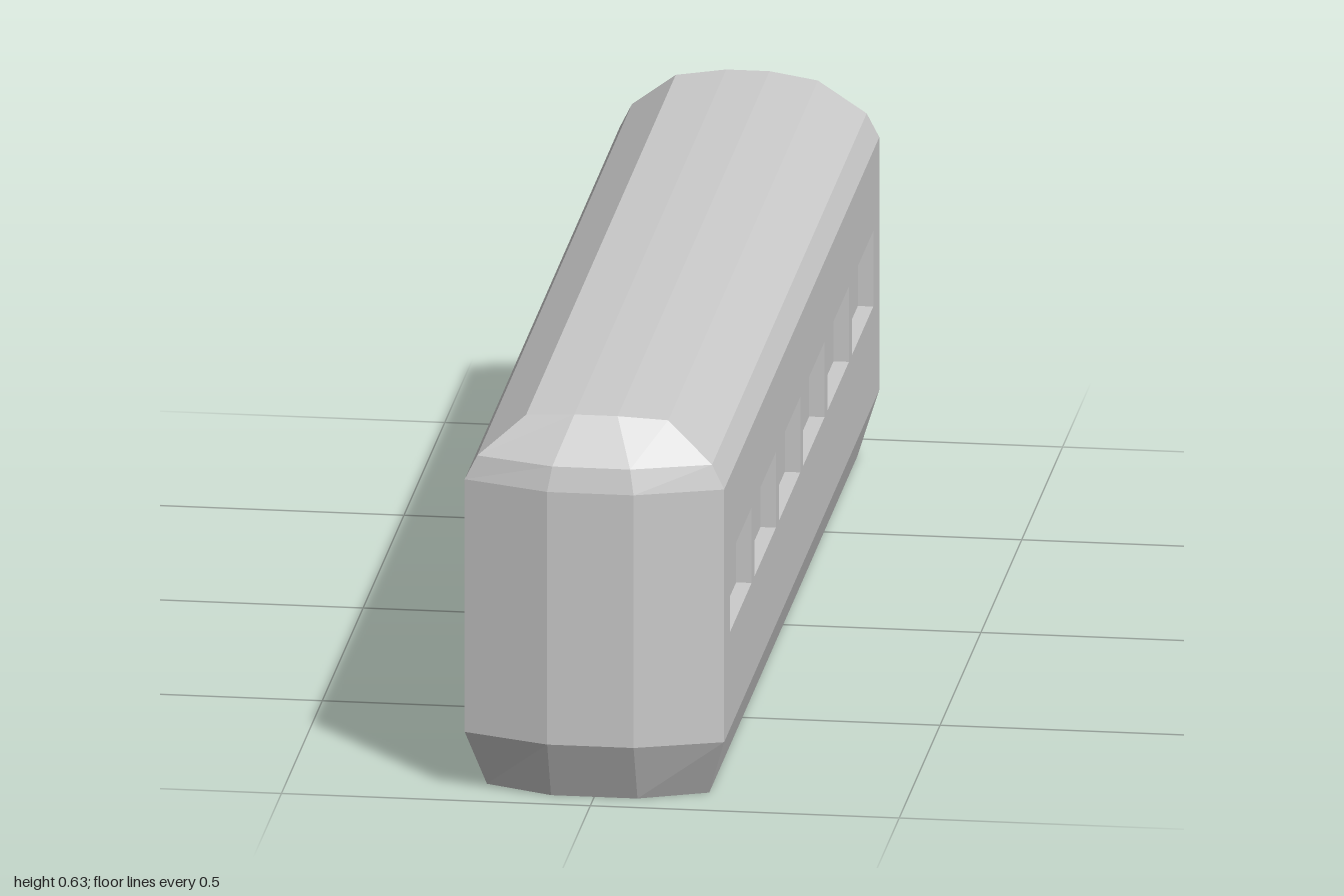
import * as THREE from 'three';

const WALL_X = 0.21, WALL_Z = 0.95, SILL = 0.1, EAVE = 0.525, DEPTH = 0.025;

// Octagonal plan at each level: corner (x, z, y) and inner end point (x, z, y)
const LEVELS = [
  { c: [0.18, 0.905, 0], m: [0.07, 0.952, 0] },
  { c: [WALL_X, WALL_Z, SILL], m: [0.07, 1, SILL] },
  { c: [WALL_X, WALL_Z, EAVE], m: [0.07, 1, EAVE] },
  { c: [0.19, 0.947, 0.565], m: [0.063, 0.99, 0.565] },
  { c: [0.115, 0.916, 0.627], m: [0.035, 0.93, 0.635] },
];

function ring({ c, m }) {
  const p = (q, sx, sz) => [q[0] * sx, q[2], q[1] * sz];
  return [p(c, 1, 1), p(m, 1, 1), p(m, -1, 1), p(c, -1, 1),
    p(c, -1, -1), p(m, -1, -1), p(m, 1, -1), p(c, 1, -1)];
}

function facets(quads) {
  const pos = [];
  for (const [a, b, c, d] of quads) pos.push(...a, ...b, ...c, ...a, ...c, ...d);
  const geo = new THREE.BufferGeometry();
  geo.setAttribute('position', new THREE.Float32BufferAttribute(pos, 3));
  geo.computeVertexNormals();
  return geo;
}

// Three lengthwise strips closing a ring
function cap(r, up) {
  const quads = [[0, 7, 6, 1], [1, 6, 5, 2], [2, 5, 4, 3]].map(q => q.map(i => r[i]));
  return facets(up ? quads : quads.map(q => q.reverse()));
}

function rectangle(Type, x0, x1, y0, y1) {
  return new Type([[x0, y0], [x1, y0], [x1, y1], [x0, y1]].map(([x, y]) => new THREE.Vector2(x, y)));
}

export function createModel() {
  const model = new THREE.Group();
  model.name = 'railCar';
  const material = new THREE.MeshStandardMaterial({ color: 0xcccccc, flatShading: true });
  const add = (name, geo, parent = model) => {
    const mesh = new THREE.Mesh(geo, material);
    mesh.name = name;
    parent.add(mesh);
    return mesh;
  };

  // Faceted shell bands, leaving the flat side walls open for the window panels
  const rings = LEVELS.map(ring);
  ['skirt', 'endWalls', 'eaves', 'roofSlopes'].forEach((name, i) => {
    const quads = [];
    for (let k = 0; k < 8; k++) {
      if (i === 1 && k % 4 === 3) continue;
      const n = (k + 1) % 8;
      quads.push([rings[i][n], rings[i][k], rings[i + 1][k], rings[i + 1][n]]);
    }
    add(name, facets(quads));
  });
  add('roof', cap(rings[4], true));
  add('underside', cap(rings[0], false));

  // Side walls with six recessed windows each
  const width = 0.262, pitch = 0.298, y0 = 0.263, y1 = 0.39;
  for (const side of [1, -1]) {
    const wall = new THREE.Group();
    wall.name = side > 0 ? 'leftSide' : 'rightSide';
    const shape = rectangle(THREE.Shape, -WALL_Z, WALL_Z, SILL, EAVE);
    for (let i = 0; i < 6; i++) {
      const u = (i - 2.5) * pitch;
      shape.holes.push(rectangle(THREE.Path, u - width / 2, u + width / 2, y0, y1));
      add('windowPane', new THREE.PlaneGeometry(width, y1 - y0), wall).position.set(u, (y0 + y1) / 2, 0);
    }
    add('sideWall', new THREE.ExtrudeGeometry(shape, { depth: DEPTH, bevelEnabled: false }), wall);
    wall.rotation.y = side * Math.PI / 2;
    wall.position.x = side * (WALL_X - DEPTH);
    model.add(wall);
  }
  return model;
}
